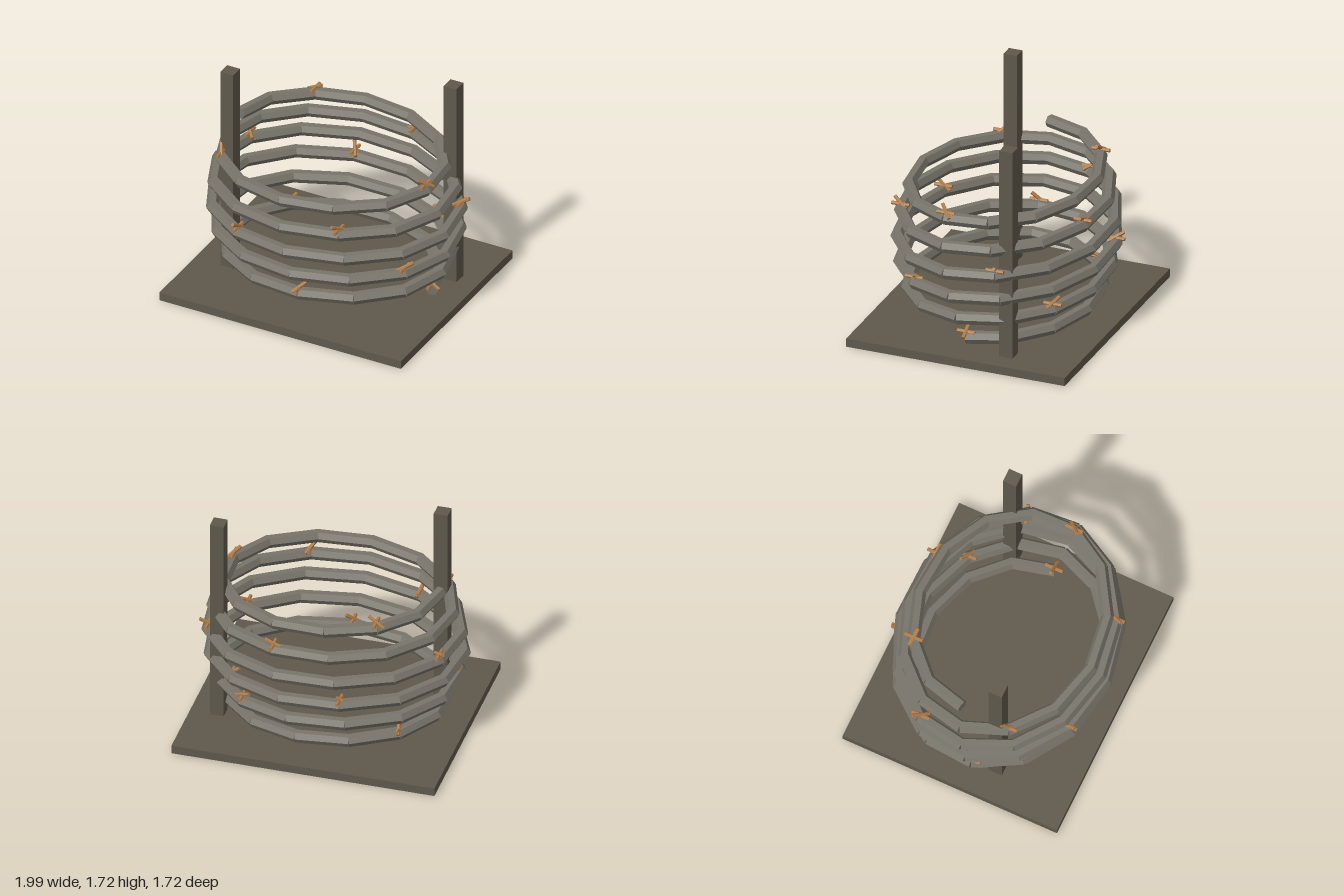
import * as THREE from 'three';

const SEGMENTS = 72, TURNS = 5.5;

// Centre line of the coil: an oval spiral that bulges at mid height
function coilPoint(t) {
  const angle = t * TURNS * Math.PI * 2;
  const radius = 0.79 + 0.16 * Math.sin(Math.PI * t);
  return new THREE.Vector3(radius * Math.cos(angle), 0.145 + 1.045 * t, -0.82 * radius * Math.sin(angle));
}

// Straight rod lying along +z, with its corners pointing sideways
function rodGeometry(radius, length, sides) {
  return new THREE.CylinderGeometry(radius, radius, length, sides)
    .rotateY(Math.PI / 6).rotateX(Math.PI / 2);
}

export function createModel() {
  const group = new THREE.Group();
  const material = (color) => new THREE.MeshStandardMaterial({ color, flatShading: true });
  const wood = material(0x5f594c), wire = material(0x78746a), rust = material(0xb07c48);

  const add = (parent, name, geometry, mat, x, y, z) => {
    const mesh = new THREE.Mesh(geometry, mat);
    mesh.name = name;
    mesh.position.set(x, y, z);
    parent.add(mesh);
    return mesh;
  };

  // Ground slab and two square posts
  add(group, 'base', new THREE.BoxGeometry(1.99, 0.065, 1.72), wood, 0, 0.0325, 0);
  const post = new THREE.BoxGeometry(0.105, 1.66, 0.105);
  add(group, 'leftPost', post, wood, 0.79, 0.89, -0.333);
  add(group, 'rightPost', post, wood, -0.73, 0.89, 0.265);

  // Coil of straight six-sided rods
  const coil = new THREE.Group();
  coil.name = 'wireCoil';
  group.add(coil);
  for (let i = 0; i < SEGMENTS; i++) {
    const a = coilPoint(i / SEGMENTS), b = coilPoint((i + 1) / SEGMENTS);
    const mid = a.clone().lerp(b, 0.5);
    const rod = add(coil, 'wireSegment', rodGeometry(0.048, a.distanceTo(b) * 1.03, 6), wire, mid.x, mid.y, mid.z);
    rod.lookAt(b);
  }

  // Barbs: a level spike and a slanted spike crossing on top of every fifth joint
  const slants = [
    [0.15, -0.09, 0], [0.02, 0.05, 0.1], [0.1, 0.09, -0.07], [0.12, -0.06, 0.06], [0.02, 0.07, 0.08],
    [0.1, 0.06, -0.08], [0.06, -0.06, 0.1], [0.02, -0.06, -0.09], [0.14, 0.08, -0.04], [0.08, -0.05, 0.09],
    [0.05, -0.05, -0.09], [0.12, 0.05, 0], [0.05, -0.08, 0.09], [0.1, -0.08, -0.1], [0.12, 0.07, 0.02],
  ];
  const spike = rodGeometry(0.014, 0.14, 6);
  slants.forEach((slant, k) => {
    const barb = new THREE.Group();
    barb.name = 'barb';
    barb.position.copy(coilPoint((k * 5) / SEGMENTS));
    barb.position.y += 0.045;
    group.add(barb);
    add(barb, 'levelSpike', spike, rust, 0, 0, 0);
    const tilted = add(barb, 'slantedSpike', spike, rust, 0, 0.01, 0);
    tilted.quaternion.setFromUnitVectors(new THREE.Vector3(0, 0, 1), new THREE.Vector3(...slant).normalize());
  });

  return group;
}
